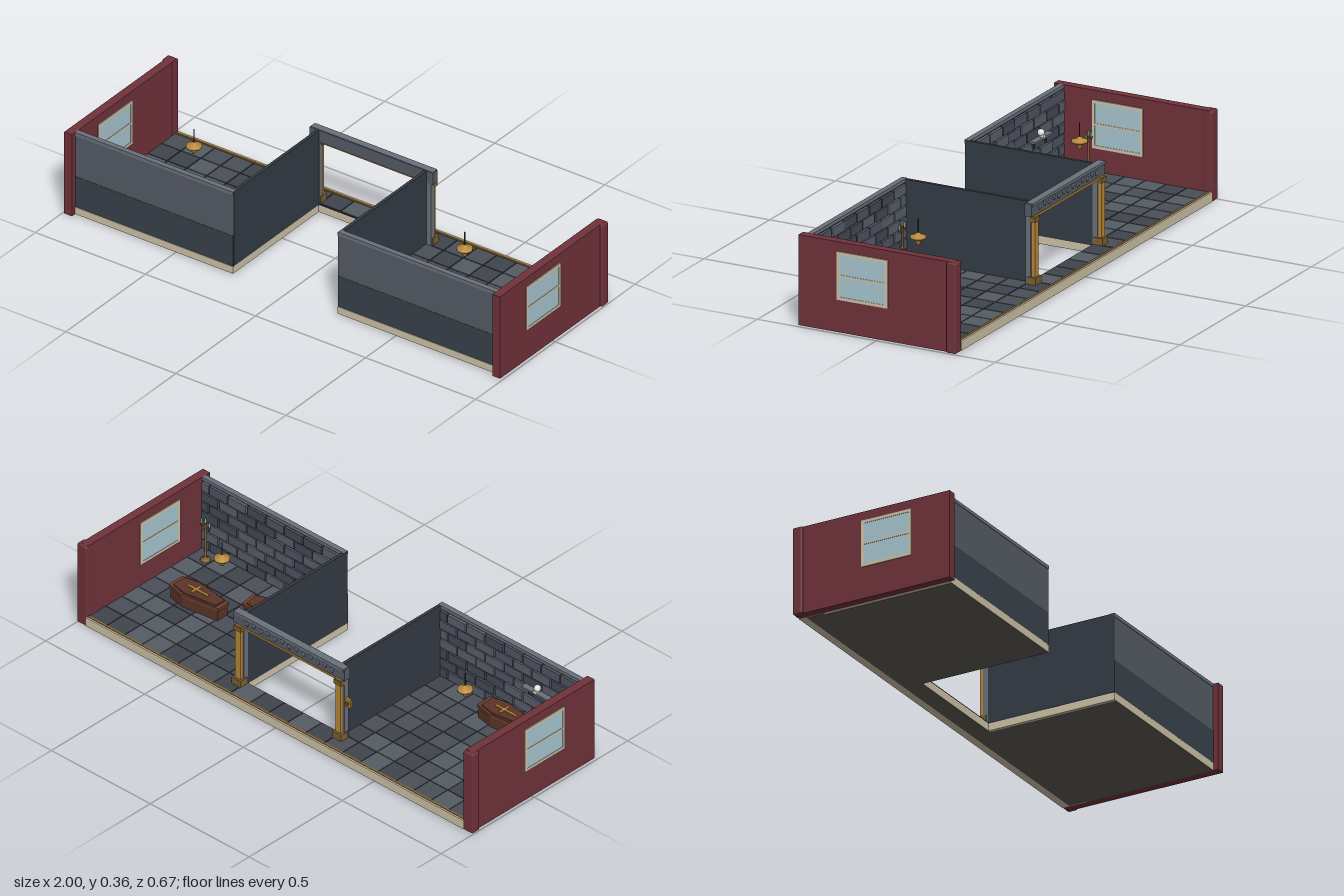
import * as THREE from 'three';
import { RoundedBoxGeometry } from 'three/addons/geometries/RoundedBoxGeometry.js';

const COLORS = {
  red: 0x70323a, cream: 0xcfc4a8, glass: 0xa8c6d0, under: 0x5e5a52, dark: 0x343b45,
  wainscot: 0x3a424c, wall: 0x565c66, cap: 0x6a717c, mortar: 0x2a2e35, gold: 0xb8893a,
  oldGold: 0x7d6030, olive: 0x6b5c30, wood: 0x5c3428, lid: 0x6b3d2f, bone: 0xe8e4da,
  green: 0x3fae84, iron: 0x3a3530,
  tile0: 0x3f454d, tile1: 0x4a5058, tile2: 0x555b63, brick0: 0x454b57, brick1: 0x505664, brick2: 0x5a606c,
};
const mats = {};
const mat = (c) => (mats[c] ??= new THREE.MeshStandardMaterial({ color: COLORS[c] }));

function add(parent, name, geometry, color, x = 0, y = 0, z = 0) {
  const m = new THREE.Mesh(geometry, mat(color));
  m.name = name;
  m.position.set(x, y, z);
  parent.add(m);
  return m;
}
// Box given by its limits on each axis
function span(parent, name, color, x0, x1, y0, y1, z0, z1) {
  return add(parent, name, new THREE.BoxGeometry(Math.abs(x1 - x0), y1 - y0, z1 - z0), color,
    (x0 + x1) / 2, (y0 + y1) / 2, (z0 + z1) / 2);
}
function group(parent, name, x = 0, y = 0, z = 0) {
  const g = new THREE.Group();
  g.name = name;
  g.position.set(x, y, z);
  parent.add(g);
  return g;
}
const lathe = (pts, n = 16) => new THREE.LatheGeometry(pts.map((p) => new THREE.Vector2(...p)), n);

let seed = 7;
const rand = () => (seed = (seed * 16807) % 2147483647) / 2147483647;
const shade = (kind) => kind + Math.floor(rand() * 3);

const FLOOR = 0.036, TOP = 0.355;

// Tiles laid over a rectangle of floor
function tiles(parent, x0, x1, z0, z1) {
  const nx = Math.round((x1 - x0) / 0.09), nz = Math.max(1, Math.round((z1 - z0) / 0.09));
  const w = (x1 - x0) / nx, d = (z1 - z0) / nz;
  for (let i = 0; i < nx; i++) for (let j = 0; j < nz; j++) {
    const x = x0 + i * w, z = z0 + j * d;
    span(parent, 'floorTile', shade('tile'), x + 0.002, x + w - 0.002, FLOOR - 0.004, FLOOR + 0.004, z + 0.002, z + d - 0.002);
  }
}

// Running-bond stones on the inside of a front wall
function bricks(parent, x0, x1) {
  const rows = 7, h = (0.338 - 0.042) / rows, w = 0.095;
  for (let r = 0; r < rows; r++) {
    for (let x = x0 - (r % 2) * w / 2; x < x1; x += w) {
      const a = Math.max(x, x0) + 0.003, b = Math.min(x + w, x1) - 0.003;
      if (b - a < 0.01) continue;
      const y = 0.042 + r * h;
      span(parent, 'wallStone', shade('brick'), a, b, y + 0.003, y + h - 0.003, 0.288 - rand() * 0.004, 0.298);
    }
  }
}

// Red end wall with post and two-pane window
function endWall(parent, s) {
  const g = group(parent, s > 0 ? 'leftEndWall' : 'rightEndWall');
  span(g, 'endPanel', 'red', s * 0.955, s * 0.99, 0.003, TOP, -0.32, 0.333);
  add(g, 'cornerPost', new RoundedBoxGeometry(0.047, TOP - 0.003, 0.04, 2, 0.006), 'red', s * 0.9765, TOP / 2 + 0.001, -0.313);
  add(g, 'postFoot', new THREE.SphereGeometry(0.006, 10, 8), 'red', s * 0.976, 0.006, -0.325);
  const a = s * 0.951, b = s * 0.994;
  for (const [z0, z1] of [[-0.043, -0.031], [0.159, 0.171]]) span(g, 'windowStile', 'cream', a, b, 0.13, 0.318, z0, z1);
  for (const [y0, y1] of [[0.13, 0.142], [0.22, 0.228], [0.306, 0.318]]) span(g, 'windowRail', 'cream', a, b, y0, y1, -0.031, 0.159);
  for (const [y0, y1] of [[0.142, 0.22], [0.228, 0.306]]) span(g, 'windowPane', 'glass', s * 0.953, s * 0.992, y0, y1, -0.031, 0.159);
}

// Six-sided tapered coffin, head towards +x
function coffin(parent, x, z, turn) {
  const g = group(parent, 'coffin', x, FLOOR + 0.004, z);
  g.rotation.y = turn;
  const outline = (k) => new THREE.Shape([[-0.122, -0.028], [0.045, -0.052], [0.122, -0.036], [0.122, 0.036], [0.045, 0.052], [-0.122, 0.028]]
    .map(([u, v]) => new THREE.Vector2(u * k, v * k)));
  const layer = (name, k, y, h, c) => {
    const geo = new THREE.ExtrudeGeometry(outline(k), { depth: h, bevelEnabled: false });
    geo.rotateX(-Math.PI / 2);
    add(g, name, geo, c, 0, y, 0);
  };
  layer('coffinBody', 0.94, 0, 0.045, 'wood');
  layer('coffinLid', 1, 0.045, 0.012, 'lid');
  layer('lidPanel', 0.85, 0.057, 0.006, 'wood');
  span(g, 'crossLong', 'gold', -0.045, 0.06, 0.063, 0.067, -0.005, 0.005);
  span(g, 'crossShort', 'gold', 0.012, 0.022, 0.063, 0.067, -0.025, 0.025);
}

// Standing candle holder with three green flames
function candelabrum(parent, x, z) {
  const g = group(parent, 'candelabrum', x, FLOOR + 0.004, z);
  add(g, 'stand', lathe([[0, 0], [0.022, 0], [0.018, 0.008], [0.005, 0.014], [0.004, 0.08], [0.007, 0.085], [0.004, 0.09], [0.004, 0.16], [0, 0.16]], 12), 'oldGold');
  for (const dx of [-0.02, 0, 0.02]) {
    const y = dx ? 0.155 : 0.165;
    add(g, 'candleCup', new THREE.CylinderGeometry(0.007, 0.004, 0.008, 10), 'olive', dx, y, 0);
    add(g, 'candle', new THREE.CylinderGeometry(0.0035, 0.0035, 0.016, 8), 'bone', dx, y + 0.011, 0);
    add(g, 'flame', new THREE.ConeGeometry(0.0045, 0.014, 8), 'green', dx, y + 0.025, 0);
  }
  span(g, 'candleArm', 'oldGold', -0.022, 0.022, 0.146, 0.152, -0.003, 0.003);
}

// Hanging lamp
function lamp(parent, x) {
  const g = group(parent, 'hangingLamp', x, 0, 0.037);
  add(g, 'lampBowl', lathe([[0, 0.248], [0.007, 0.252], [0.011, 0.264], [0.016, 0.272], [0.03, 0.278], [0.03, 0.286], [0.014, 0.29], [0.006, 0.298], [0, 0.3]], 20), 'gold');
  add(g, 'lampStem', new THREE.CylinderGeometry(0.0025, 0.0025, 0.057, 8), 'iron', 0, 0.325, 0);
}

function doorway(parent) {
  const g = group(parent, 'doorway');
  span(g, 'lintel', 'wall', -0.28, 0.28, 0.305, TOP, -0.255, -0.226);
  span(g, 'lintelCap', 'cap', -0.276, 0.276, 0.345, TOP + 0.001, -0.258, -0.23);
  span(g, 'lintelTrim', 'gold', -0.25, 0.25, 0.297, 0.305, -0.258, -0.232);
  // Carved stones along the lintel
  for (let i = 0; i < 13; i++) {
    add(g, 'lintelCarving', new THREE.SphereGeometry(0.011, 8, 6), 'wall', -0.216 + i * 0.036, 0.326 + (i % 2) * 0.006, -0.254).scale.z = 0.5;
  }
  for (const s of [-1, 1]) {
    span(g, 'jamb', 'cap', s * 0.236, s * 0.272, FLOOR, 0.305, -0.247, -0.226);
    span(g, 'goldColumn', 'gold', s * 0.24, s * 0.266, FLOOR, 0.305, -0.262, -0.245);
    span(g, 'columnFoot', 'oldGold', s * 0.232, s * 0.276, FLOOR, 0.068, -0.27, -0.232);
    span(g, 'columnHead', 'oldGold', s * 0.235, s * 0.272, 0.282, 0.3, -0.266, -0.24);
  }
  span(g, 'doorPlate', 'gold', -0.298, -0.272, 0.185, 0.222, -0.243, -0.234);
  span(g, 'doorPlateKnob', 'oldGold', -0.291, -0.28, 0.197, 0.21, -0.25, -0.243);
}

export function createModel() {
  const root = new THREE.Group();
  root.name = 'hall';

  // Base: back strip plus one slab per room
  const base = group(root, 'base');
  span(base, 'backSlab', 'cream', -0.955, 0.955, 0.003, FLOOR - 0.003, -0.33, -0.225);
  span(base, 'backUnderside', 'under', -0.95, 0.95, 0.002, 0.01, -0.3, -0.227);
  span(base, 'backFloor', 'mortar', -0.955, 0.955, FLOOR - 0.003, FLOOR + 0.001, -0.318, -0.225);
  span(base, 'backSill', 'cream', -0.955, 0.955, 0.003, 0.041, -0.332, -0.318);
  span(base, 'sillStrip', 'oldGold', -0.955, 0.955, 0.036, 0.043, -0.325, -0.315);
  tiles(base, -0.235, 0.235, -0.314, -0.227);

  for (const s of [-1, 1]) {
    const room = group(root, s > 0 ? 'leftRoom' : 'rightRoom');
    const x0 = s > 0 ? 0.238 : -0.955, x1 = s > 0 ? 0.955 : -0.238;
    span(room, 'roomSlab', 'cream', x0, x1, 0.003, FLOOR - 0.003, -0.225, 0.313);
    span(room, 'roomUnderside', 'under', x0 + 0.015, x1 - 0.002, 0.002, 0.01, -0.227, 0.311);
    span(room, 'roomFloor', 'mortar', x0, x1, FLOOR - 0.003, FLOOR + 0.001, -0.225, 0.3);
    tiles(room, x0, x1, -0.314, 0.296);

    // Front wall: panelled outside, stone inside
    span(room, 'wallCore', 'mortar', x0, x1, FLOOR - 0.002, 0.345, 0.297, 0.306);
    span(room, 'wainscot', 'wainscot', x0, x1, FLOOR - 0.002, 0.165, 0.306, 0.312);
    span(room, 'upperPanel', 'wall', x0, x1, 0.165, 0.345, 0.306, 0.311);
    span(room, 'wallCap', 'cap', x0, x1, 0.341, TOP, 0.291, 0.313);
    bricks(room, s > 0 ? 0.25 : -0.955, s > 0 ? 0.955 : -0.25);

    // Partition beside the open court
    span(room, 'partition', 'dark', s * 0.237, s * 0.25, FLOOR - 0.002, TOP - 0.002, -0.235, 0.309);
    endWall(root, s);
    lamp(room, s * 0.615);
  }

  doorway(root);

  // Furnishings
  coffin(root, 0.704, 0.012, 0);
  coffin(root, 0.43, 0.125, 0.16);
  coffin(root, -0.652, 0.226, 0);
  candelabrum(root, 0.89, 0.24);
  candelabrum(root, 0.35, 0.25);
  candelabrum(root, -0.87, 0.14);

  const shelf = group(root, 'skullShelf');
  span(shelf, 'shelfBoard', 'cap', -0.825, -0.685, 0.208, 0.216, 0.262, 0.295);
  for (const x of [-0.8, -0.71]) span(shelf, 'shelfBracket', 'iron', x - 0.004, x + 0.004, 0.185, 0.208, 0.278, 0.295);
  add(shelf, 'skull', new THREE.SphereGeometry(0.014, 14, 10), 'bone', -0.755, 0.232, 0.276);
  span(shelf, 'skullJaw', 'bone', -0.763, -0.747, 0.216, 0.226, 0.262, 0.276);

  return root;
}
